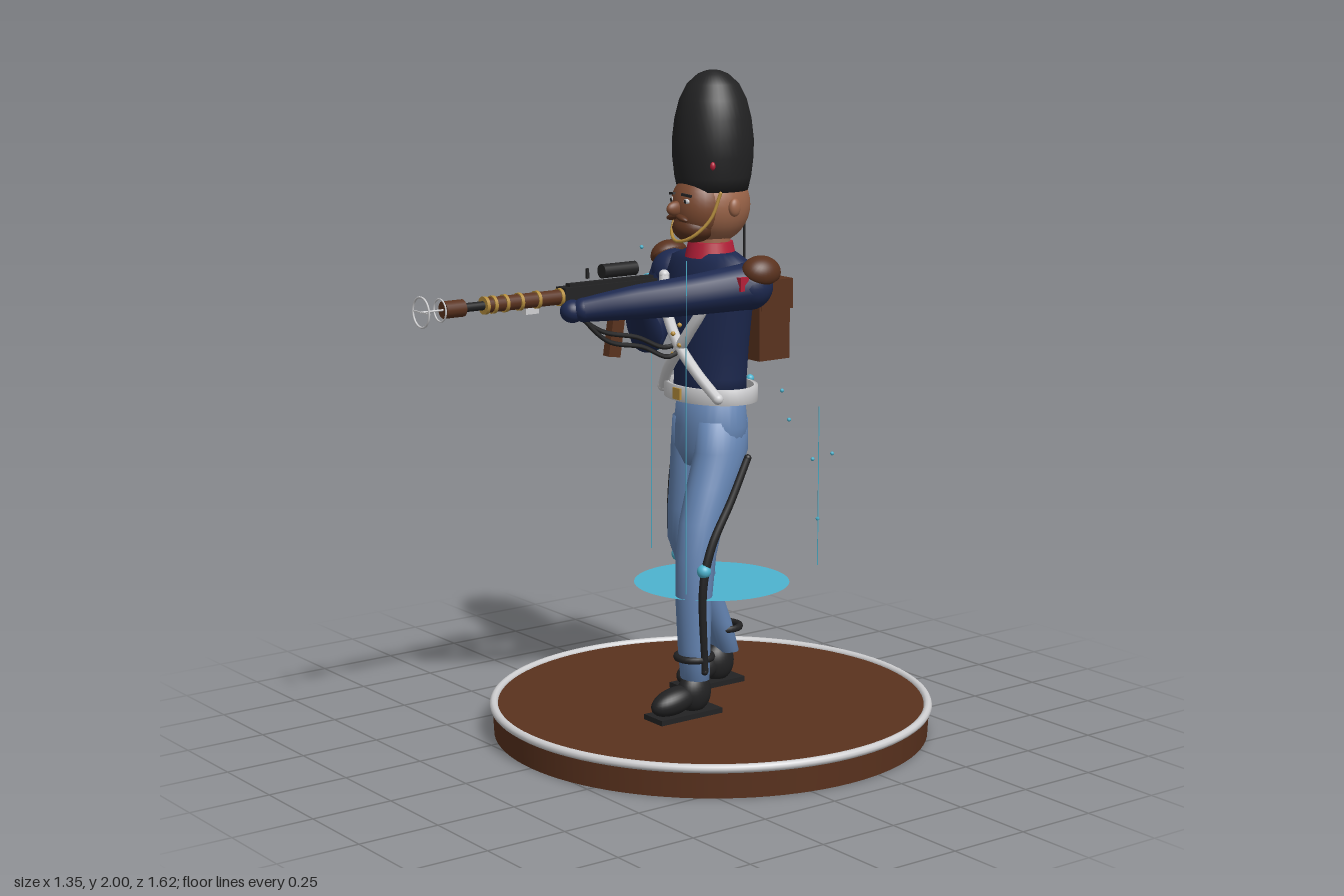
import * as THREE from 'three';

const M = {};
for (const [name, hex] of Object.entries({
  navy: 0x1d2950, trouserBlue: 0x6484b2, black: 0x222223, brown: 0x5a321e, white: 0xd0d0d2,
  cyan: 0x4db4cf, skin: 0x9c6549, faceBrown: 0x7c4a31, gold: 0xb58d3c, red: 0xb51f38,
})) {
  M[name] = new THREE.MeshStandardMaterial({ color: hex });
  M[name].name = name;
}
const V = (p) => new THREE.Vector3(...p);

export function createModel() {
  const root = new THREE.Group();
  root.name = 'guardsman';

  const add = (name, geo, mat, pos = [0, 0, 0], rot = [0, 0, 0], parent = root) => {
    const m = new THREE.Mesh(geo, mat);
    m.name = name;
    m.position.set(...pos);
    m.rotation.set(...rot);
    parent.add(m);
    return m;
  };
  const box = (name, mat, pos, size, rot, parent) =>
    add(name, new THREE.BoxGeometry(...size), mat, pos, rot, parent);
  const ball = (name, mat, pos, size, rot) =>
    add(name, new THREE.SphereGeometry(1, 28, 18).scale(...size), mat, pos, rot);

  // Tube along a smooth path, its radius varying from point to point
  const limb = (name, mat, pts, radii, sides = 14) => {
    const curve = new THREE.CatmullRomCurve3(pts.map(V));
    const n = 24;
    const geo = new THREE.TubeGeometry(curve, n, 1, sides, false);
    const p = geo.attributes.position;
    const v = new THREE.Vector3();
    for (let i = 0; i <= n; i++) {
      const c = curve.getPointAt(i / n);
      const f = (i / n) * (radii.length - 1);
      const k = Math.min(Math.floor(f), radii.length - 2);
      const r = THREE.MathUtils.lerp(radii[k], radii[k + 1], f - k);
      for (let j = 0; j <= sides; j++) {
        const q = i * (sides + 1) + j;
        v.fromBufferAttribute(p, q).sub(c).multiplyScalar(r).add(c);
        p.setXYZ(q, v.x, v.y, v.z);
      }
    }
    add(name, geo, mat);
    [[0, 0], [pts.length - 1, radii.length - 1]].forEach(([a, b]) =>
      ball(name + 'End', mat, pts[a], [radii[b], radii[b], radii[b]]));
  };

  // Stack of horizontal ellipses, bottom to top: [x, y, z, rx, rz]
  const loft = (name, mat, rings, sides = 28) => {
    const pos = [], idx = [];
    for (const [x, y, z, rx, rz] of rings)
      for (let j = 0; j < sides; j++) {
        const a = (j / sides) * Math.PI * 2;
        pos.push(x + Math.sin(a) * rx, y, z + Math.cos(a) * rz);
      }
    for (let i = 0; i < rings.length - 1; i++)
      for (let j = 0; j < sides; j++) {
        const a = i * sides + j, b = i * sides + (j + 1) % sides;
        idx.push(a, b, b + sides, a, b + sides, a + sides);
      }
    const last = rings.length - 1;
    [0, last].forEach((r, e) => {
      const c = pos.length / 3;
      pos.push(...rings[r].slice(0, 3));
      for (let j = 0; j < sides; j++) {
        const a = r * sides + j, b = r * sides + (j + 1) % sides;
        if (e) idx.push(c, a, b); else idx.push(c, b, a);
      }
    });
    const geo = new THREE.BufferGeometry();
    geo.setAttribute('position', new THREE.Float32BufferAttribute(pos, 3));
    geo.setIndex(idx);
    geo.computeVertexNormals();
    return add(name, geo, mat);
  };

  // Round stand with a pale rim
  const CZ = -0.135;
  add('stand', new THREE.CylinderGeometry(0.665, 0.66, 0.09, 96), M.brown, [0, 0.045, CZ]);
  add('standRim', new THREE.TorusGeometry(0.66, 0.013, 10, 96), M.white, [0, 0.088, CZ], [Math.PI / 2, 0, 0]);

  // Thin floating disc, rods and specks
  const thin = M.cyan.clone();
  thin.side = THREE.DoubleSide;
  add('floatingDisc', new THREE.CircleGeometry(0.235, 64), thin, [0, 0.46, -0.138], [-Math.PI / 2, 0, 0]);
  for (const [x, z, h] of [[-0.31, -0.14, 0.74], [0.2, 0.11, 0.98], [0.16, -0.42, 0.49]])
    add('thinRod', new THREE.CylinderGeometry(0.0015, 0.0015, h, 6), M.cyan, [x, 0.5 + h / 2, z]);
  for (const p of [[0.3, 1, -0.19], [0.235, 0.86, -0.41], [0.05, 0.61, -0.51], [0.12, 0.82, -0.43],
    [0.18, 1.06, -0.26], [-0.29, 1.45, -0.09]])
    add('speck', new THREE.SphereGeometry(0.006, 8, 6), M.cyan, p);

  // Trousers: hips and two bent legs
  loft('hips', M.trouserBlue, [[0, 0.83, -0.12, 0.07, 0.07], [0, 0.88, -0.13, 0.125, 0.098],
    [0, 0.95, -0.133, 0.127, 0.1], [0, 1.05, -0.132, 0.113, 0.092]]);
  loft('leftLeg', M.trouserBlue, [[0.112, 0.21, 0.01, 0.05, 0.04], [0.11, 0.3, 0.012, 0.054, 0.045],
    [0.105, 0.45, 0.01, 0.058, 0.052], [0.1, 0.58, -0.002, 0.06, 0.06], [0.09, 0.68, -0.03, 0.063, 0.068],
    [0.079, 0.78, -0.075, 0.067, 0.078], [0.068, 0.88, -0.12, 0.066, 0.088], [0.06, 0.97, -0.13, 0.058, 0.085]]);
  loft('rightLeg', M.trouserBlue, [[-0.105, 0.2, -0.27, 0.05, 0.04], [-0.106, 0.3, -0.235, 0.054, 0.045],
    [-0.104, 0.45, -0.168, 0.058, 0.052], [-0.1, 0.58, -0.118, 0.06, 0.056], [-0.09, 0.68, -0.118, 0.063, 0.064],
    [-0.079, 0.78, -0.13, 0.067, 0.078], [-0.068, 0.88, -0.135, 0.066, 0.088], [-0.06, 0.97, -0.13, 0.058, 0.085]]);

  // Boots, ankle straps, leg braces and knee joints
  for (const [s, z, ankleZ] of [[1, 0.055, 0.01], [-1, -0.2, -0.265]]) {
    const x = s * 0.108;
    ball('bootToe', M.black, [x, 0.15, z + 0.03], [0.042, 0.04, 0.08], [0.2, 0, 0]);
    ball('bootHeel', M.black, [x, 0.165, z - 0.045], [0.042, 0.062, 0.055]);
    box('bootSole', M.black, [x, 0.105, z - 0.005], [0.088, 0.016, 0.225]);
    add('ankleStrap', new THREE.TorusGeometry(0.052, 0.011, 8, 28), M.black, [x, 0.275, ankleZ], [Math.PI / 2, 0, 0]);
  }
  limb('leftLegBrace', M.black, [[0.17, 0.87, -0.14], [0.17, 0.75, -0.08], [0.167, 0.62, -0.01],
    [0.165, 0.5, 0.02], [0.162, 0.24, 0.012]], [0.011, 0.013, 0.011], 8);
  limb('rightLegBrace', M.black, [[-0.175, 0.87, -0.135], [-0.172, 0.72, -0.115], [-0.168, 0.57, -0.115],
    [-0.164, 0.45, -0.165], [-0.158, 0.24, -0.26]], [0.011, 0.013, 0.011], 8);
  ball('leftKneeJoint', M.cyan, [0.163, 0.547, 0.016], [0.021, 0.021, 0.021]);
  ball('rightKneeJoint', M.cyan, [-0.165, 0.512, -0.135], [0.021, 0.021, 0.021]);

  // Jacket, collar and neck
  loft('jacket', M.navy, [[0, 1.03, -0.13, 0.125, 0.1], [0, 1.1, -0.13, 0.128, 0.096], [0, 1.2, -0.128, 0.14, 0.1],
    [0, 1.32, -0.128, 0.163, 0.1], [0, 1.4, -0.13, 0.178, 0.09], [0, 1.445, -0.132, 0.165, 0.075],
    [0, 1.468, -0.132, 0.1, 0.06]]);
  add('collar', new THREE.CylinderGeometry(0.066, 0.076, 0.045, 32), M.red, [0, 1.475, -0.13]);
  add('neck', new THREE.CylinderGeometry(0.052, 0.056, 0.08, 24), M.skin, [0, 1.51, -0.135]);

  // Belt, buckle and crossed straps
  const belt = new THREE.LatheGeometry([[0.152, 0.023], [0.152, -0.023], [0.166, -0.023], [0.166, 0.023], [0.152, 0.023]]
    .map((p) => new THREE.Vector2(...p)), 48).scale(1, 1, 0.74);
  add('belt', belt, M.white, [0, 1.052, -0.132]);
  box('buckle', M.gold, [0, 1.052, -0.007], [0.035, 0.034, 0.008]);
  for (const s of [1, -1])
    limb('crossStrap', M.white, [[s * 0.115, 1.39, -0.045], [s * 0.09, 1.31, -0.03], [s * 0.045, 1.245, -0.02],
      [0, 1.19, -0.018], [-s * 0.07, 1.12, -0.028], [-s * 0.135, 1.05, -0.055]], [0.016, 0.017, 0.016], 8);
  for (let i = 0; i < 4; i++)
    ball('button', M.gold, [i % 2 ? 0.016 : -0.016, 1.17 + i * 0.03, -0.004], [0.007, 0.007, 0.007]);

  // Arms: left reaches along the barrel, right folds to the grip
  limb('leftArm', M.navy, [[0.185, 1.385, -0.13], [0.12, 1.365, 0.03], [0.03, 1.345, 0.18], [-0.05, 1.325, 0.29]],
    [0.07, 0.06, 0.052, 0.036]);
  ball('leftHand', M.navy, [-0.075, 1.32, 0.315], [0.036, 0.034, 0.036]);
  limb('rightUpperArm', M.navy, [[-0.18, 1.385, -0.13], [-0.22, 1.29, -0.11], [-0.232, 1.19, -0.07]], [0.07, 0.062, 0.054]);
  limb('rightForearm', M.navy, [[-0.232, 1.19, -0.07], [-0.18, 1.24, -0.01], [-0.12, 1.31, 0.05]], [0.054, 0.046, 0.034]);
  ball('rightHand', M.navy, [-0.11, 1.32, 0.06], [0.032, 0.036, 0.034]);
  for (const s of [1, -1]) {
    const dome = new THREE.SphereGeometry(1, 24, 12, 0, Math.PI * 2, 0, Math.PI / 2).scale(0.05, 0.045, 0.062);
    add('epaulette', dome, M.brown, [s * 0.222, 1.43, -0.145], [0, 0, -s * 0.6]);
    add('epauletteBase', new THREE.CylinderGeometry(1, 0.9, 0.012, 24).scale(0.05, 1, 0.062), M.brown,
      [s * 0.219, 1.426, -0.145], [0, 0, -s * 0.6]);
  }
  box('leftSleevePatch', M.red, [0.215, 1.4, -0.075], [0.04, 0.04, 0.03]);
  box('rightSleevePatch', M.red, [-0.272, 1.335, -0.11], [0.018, 0.03, 0.05]);
  ball('rightSleeveLight', M.cyan, [-0.273, 1.36, -0.1], [0.011, 0.011, 0.02]);
  ball('rightElbowLight', M.cyan, [-0.245, 1.155, -0.11], [0.018, 0.018, 0.018]);
  ball('beltLight', M.cyan, [0.03, 1.075, -0.258], [0.012, 0.012, 0.012]);

  // Head and face
  ball('head', M.skin, [0, 1.605, -0.14], [0.1, 0.115, 0.115]);
  ball('face', M.faceBrown, [0, 1.605, -0.088], [0.087, 0.098, 0.083]);
  ball('nose', M.faceBrown, [0, 1.602, -0.002], [0.015, 0.022, 0.032]);
  ball('beard', M.brown, [0, 1.542, -0.068], [0.066, 0.044, 0.062]);
  for (const s of [1, -1]) {
    ball('ear', M.skin, [s * 0.102, 1.605, -0.14], [0.014, 0.027, 0.02]);
    ball('moustache', M.brown, [s * 0.022, 1.576, -0.008], [0.027, 0.009, 0.013], [0, 0, -s * 0.25]);
    ball('eye', M.white, [s * 0.034, 1.625, -0.016], [0.013, 0.008, 0.006]);
    ball('pupil', M.black, [s * 0.034, 1.625, -0.011], [0.005, 0.006, 0.003]);
    box('eyebrow', M.black, [s * 0.035, 1.643, -0.015], [0.034, 0.007, 0.008], [0, s * 0.3, -s * 0.12]);
  }
  limb('chinStrap', M.gold, [[-0.1, 1.65, -0.09], [-0.086, 1.575, -0.065], [-0.05, 1.522, -0.025], [0, 1.505, -0.008],
    [0.05, 1.522, -0.025], [0.086, 1.575, -0.065], [0.1, 1.65, -0.09]], [0.005, 0.005], 8);

  // Tall fur cap
  const cap = [[0, 1.65], [0.104, 1.65], [0.113, 1.69], [0.12, 1.75], [0.12, 1.8], [0.113, 1.86], [0.099, 1.915],
    [0.076, 1.96], [0.045, 1.988], [0.02, 1.998], [0, 2]].map((p) => new THREE.Vector2(...p));
  add('furCap', new THREE.LatheGeometry(cap, 40), M.black, [0, 0, -0.138]);
  ball('capBadge', M.red, [0.095, 1.73, -0.065], [0.008, 0.012, 0.008]);

  // Backpack with trim and aerial
  box('backpack', M.brown, [0, 1.257, -0.287], [0.22, 0.235, 0.115]);
  box('backpackFlap', M.brown, [0, 1.335, -0.295], [0.226, 0.09, 0.117]);
  for (let i = 0; i < 9; i++)
    box('backpackTrim', M.gold, [-0.06 + i * 0.015, 1.28, -0.355], [0.011, 0.009, 0.006]);
  add('aerial', new THREE.CylinderGeometry(0.003, 0.004, 0.33, 8), M.black, [-0.08, 1.535, -0.32]);

  // Long gun, pointing forward along z
  const gun = new THREE.Group();
  gun.name = 'longGun';
  gun.position.set(-0.105, 1.36, 0);
  root.add(gun);
  const rod = (name, mat, z0, z1, r, x = 0, y = 0) =>
    add(name, new THREE.CylinderGeometry(r, r, z1 - z0, 20), mat, [x, y, (z0 + z1) / 2], [Math.PI / 2, 0, 0], gun);
  rod('barrel', M.black, 0.25, 0.68, 0.013);
  rod('barrelGuard', M.brown, 0.32, 0.6, 0.022);
  rod('muzzle', M.brown, 0.67, 0.735, 0.025);
  rod('muzzlePin', M.white, 0.73, 0.81, 0.003);
  for (const z of [0.34, 0.42, 0.48, 0.53, 0.57, 0.597]) rod('barrelBand', M.gold, z - 0.005, z + 0.005, 0.026);
  add('muzzleRing', new THREE.TorusGeometry(0.043, 0.003, 8, 32), M.white, [0, 0, 0.807], [0, 0, 0], gun);
  add('smallMuzzleRing', new THREE.TorusGeometry(0.032, 0.0025, 8, 32), M.white, [0, 0, 0.745], [0, 0, 0], gun);
  box('ringBar', M.white, [0, 0, 0.807], [0.086, 0.004, 0.004], [0, 0, 0], gun);
  box('receiver', M.black, [0, 0.005, 0.17], [0.048, 0.045, 0.33], [0, 0, 0], gun);
  box('stock', M.brown, [0, -0.015, 0.02], [0.036, 0.055, 0.13], [0, 0, 0], gun);
  box('topRail', M.black, [0, 0.03, 0.16], [0.024, 0.012, 0.3], [0, 0, 0], gun);
  rod('scope', M.black, 0.07, 0.19, 0.021, 0, 0.062);
  box('frontSight', M.black, [0, 0.06, 0.24], [0.007, 0.03, 0.008], [0, 0, 0], gun);
  box('magazine', M.brown, [0, -0.11, 0.142], [0.03, 0.17, 0.042], [-0.15, 0, 0], gun);
  box('grip', M.black, [0, -0.045, 0.25], [0.03, 0.06, 0.05], [0, 0, 0], gun);
  box('bracket', M.white, [-0.03, -0.025, 0.42], [0.02, 0.04, 0.045], [0, 0, 0], gun);
  for (const s of [1, -1]) box('gunLight', M.cyan, [s * 0.025, -0.02, 0.27], [0.008, 0.014, 0.12], [0, 0, 0], gun);

  // Hoses sagging from the gun to the chest
  for (const d of [0, 0.025])
    limb('hose', M.black, [[-0.09 + d, 1.31, 0.3], [-0.07 + d, 1.25 - d, 0.21], [-0.05 + d, 1.225 - d, 0.1],
      [-0.03 + d, 1.19 - d, 0.02], [-0.02 + d, 1.2, -0.04]], [0.007, 0.007], 8);

  return root;
}
